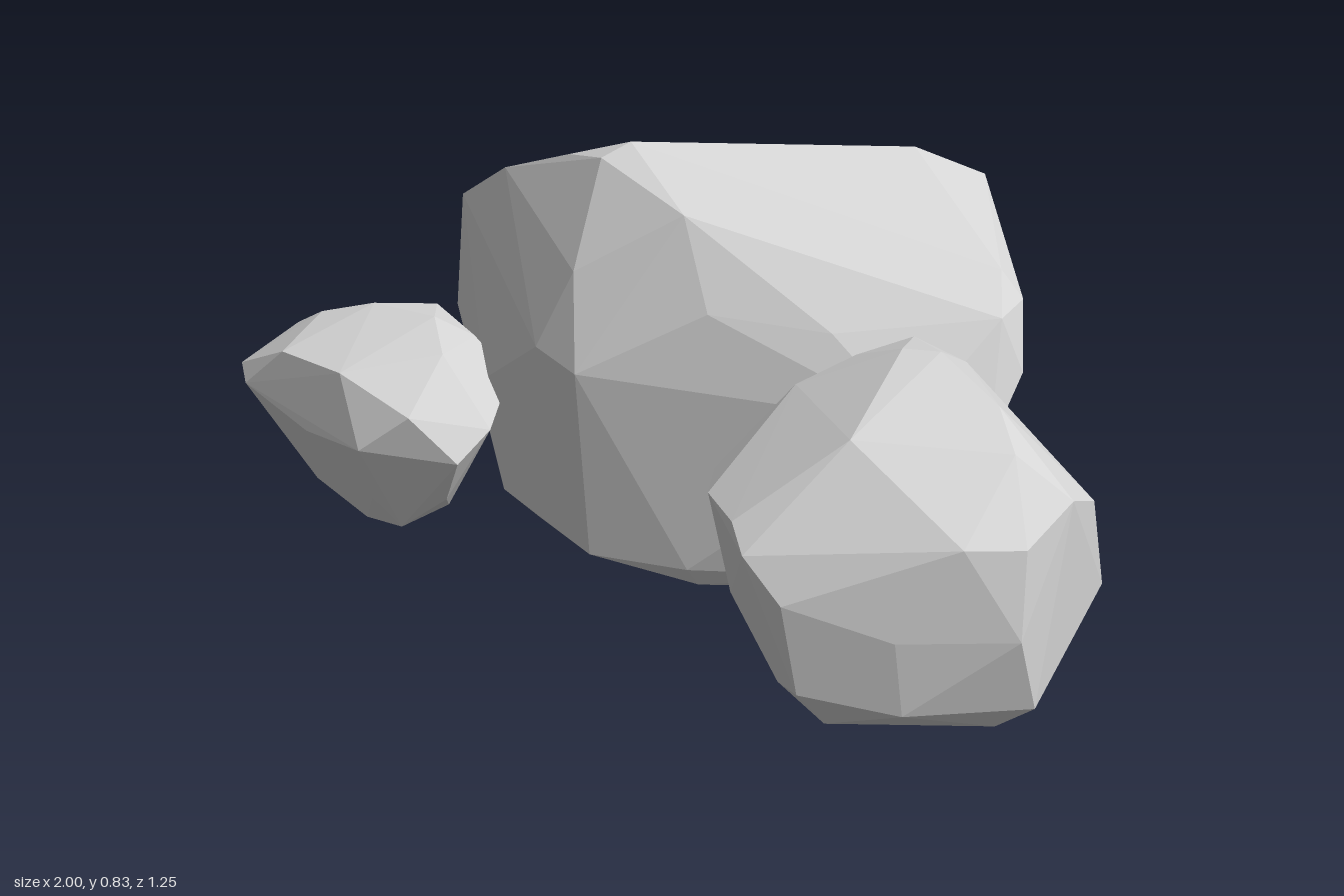
import * as THREE from 'three';
import { ConvexGeometry } from 'three/addons/geometries/ConvexGeometry.js';

// Corner points of each boulder, as [x, y, z]
const LARGE = [
  // crest
  [-0.2, 0.835, 0.17], [-0.22, 0.81, 0.23], [-0.33, 0.79, 0.22], [-0.52, 0.72, 0.23], [-0.66, 0.63, 0.23],
  [0.08, 0.78, -0.34], [-0.28, 0.6, -0.54], [0.0, 0.74, 0.21], [-0.18, 0.61, 0.34],
  // back and diagonal right side
  [-0.14, 0.55, -0.62], [-0.31, 0.52, -0.62], [-0.29, 0.33, -0.63], [-0.14, 0.32, -0.62], [-0.1, 0.65, -0.55],
  [0.17, 0.72, -0.45], [0.42, 0.63, -0.24], [0.47, 0.58, -0.25], [0.53, 0.46, -0.19], [0.55, 0.34, -0.08], [0.5, 0.57, -0.16],
  [0.45, 0.2, 0], [0.22, 0.13, -0.32], [-0.2, 0.13, -0.57], [0, 0.04, -0.47], [0.16, 0.04, -0.34],
  // left side
  [-0.43, 0.52, -0.53], [-0.64, 0.55, -0.2], [-0.71, 0.54, 0], [-0.72, 0.42, 0.1], [-0.7, 0.57, 0.2],
  [-0.33, 0.12, -0.46], [-0.5, 0.13, -0.25], [-0.63, 0.12, 0.13], [-0.65, 0.4, 0.26],
  // front
  [-0.48, 0.3, 0.33], [-0.24, 0.45, 0.39], [-0.11, 0.43, 0.4], [-0.11, 0.04, 0.37], [0.1, 0.57, 0.24],
  [0.47, 0.4, 0.05], [0.3, 0.55, 0.1], [0.08, 0.04, 0.28], [0.36, 0.05, 0.06], [-0.45, 0.06, 0.31],
  // footprint
  [-0.4, 0, 0.26], [0.08, 0, 0.25], [0.3, 0, 0.04], [-0.16, 0, -0.38], [-0.48, 0.01, -0.06],
];
const MEDIUM = [
  // crown
  [0.6, 0.63, 0.21], [0.66, 0.63, 0.17], [0.55, 0.62, 0.13], [0.47, 0.58, 0.2], [0.41, 0.53, 0.3],
  [0.6, 0.56, 0.04], [0.8, 0.56, 0.16], [0.88, 0.5, 0.2], [0.68, 0.53, 0.42],
  // back
  [0.55, 0.3, -0.09], [0.57, 0.45, -0.02], [0.56, 0.23, -0.1], [0.75, 0.28, -0.05], [0.92, 0.2, 0], [0.93, 0.38, 0.04], [0.48, 0.2, 0.02],
  // right
  [0.97, 0.42, 0.14], [0.99, 0.37, 0.28], [1, 0.2, 0.3], [0.99, 0.05, 0.25], [0.93, 0.38, 0.38], [0.85, 0.2, 0.47], [0.85, 0.05, 0.45],
  // front and left
  [0.34, 0.38, 0.44], [0.36, 0.43, 0.38], [0.35, 0.24, 0.43], [0.38, 0.09, 0.4], [0.42, 0.38, 0.53], [0.55, 0.38, 0.59],
  [0.61, 0.34, 0.62], [0.69, 0.26, 0.6], [0.7, 0.08, 0.57], [0.65, 0.09, 0.57], [0.48, 0.2, 0.53],
  // footprint
  [0.44, 0.02, 0.36], [0.6, 0, 0.45], [0.7, 0, 0.5], [0.92, 0, 0.28], [0.9, 0.01, 0.15], [0.6, 0, 0.1], [0.46, 0.05, 0.07],
];
const SMALL = [
  // crown
  [-0.75, 0.41, 0.4], [-0.6, 0.41, 0.36], [-0.68, 0.4, 0.29], [-0.85, 0.38, 0.46], [-0.5, 0.37, 0.42], [-0.52, 0.38, 0.32],
  [-0.92, 0.34, 0.47], [-0.8, 0.34, 0.6], [-0.62, 0.34, 0.59], [-0.45, 0.28, 0.55], [-0.96, 0.27, 0.59],
  // left and back
  [-1, 0.2, 0.53], [-0.98, 0.26, 0.43], [-0.88, 0.29, 0.32], [-0.78, 0.21, 0.23], [-0.66, 0.28, 0.22], [-0.46, 0.3, 0.28], [-0.98, 0.12, 0.45],
  // right and front
  [-0.39, 0.23, 0.39], [-0.385, 0.18, 0.48], [-0.45, 0.08, 0.46], [-0.54, 0.2, 0.61], [-0.7, 0.2, 0.62], [-0.9, 0.25, 0.625],
  [-0.78, 0.05, 0.54], [-0.58, 0.07, 0.55],
  // footprint
  [-0.95, 0.01, 0.38], [-0.82, 0, 0.45], [-0.64, 0, 0.52], [-0.55, 0, 0.5], [-0.52, 0.03, 0.4], [-0.6, 0, 0.33], [-0.75, 0.02, 0.29],
];

export function createModel() {
  const group = new THREE.Group();
  group.name = 'boulders';
  const stone = new THREE.MeshStandardMaterial({ color: 0xd4d4d4 });
  stone.name = 'grey stone';

  // Each boulder is a faceted convex solid with flat normals
  const addBoulder = (name, corners) => {
    const geometry = new ConvexGeometry(corners.map((p) => new THREE.Vector3(...p)));
    const mesh = new THREE.Mesh(geometry, stone);
    mesh.name = name;
    group.add(mesh);
  };
  addBoulder('largeBoulder', LARGE);
  addBoulder('mediumBoulder', MEDIUM);
  addBoulder('smallBoulder', SMALL);
  return group;
}
